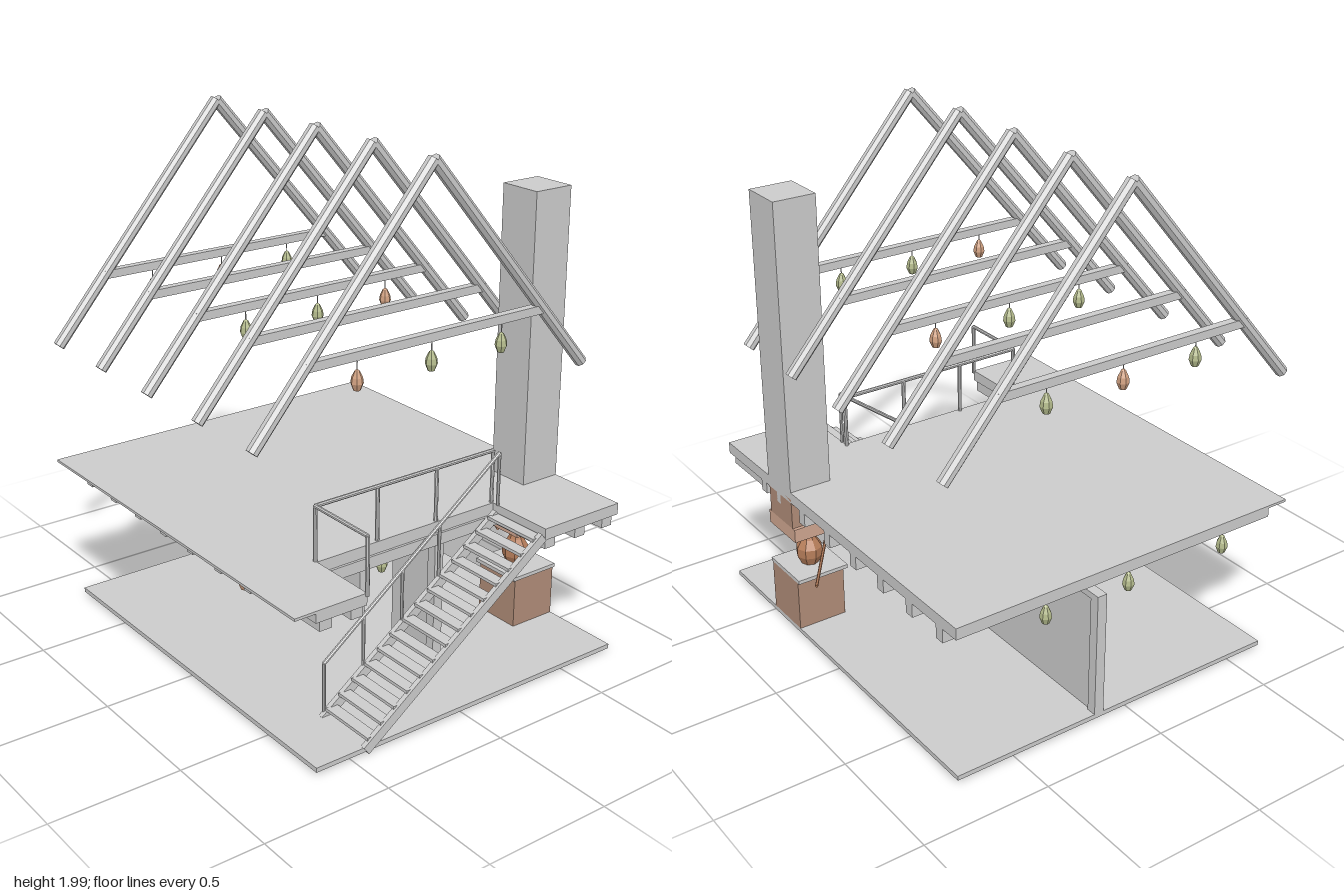
import * as THREE from 'three';

const mat = (color) => new THREE.MeshStandardMaterial({ color, flatShading: true });
const GREY = mat(0xcccccc);
const BRICK = mat(0xb08c78), PALE = mat(0xcfa690), CLAY = mat(0xb67d5a);
const GREEN = mat(0xb4bb8c), ORANGE = mat(0xd0a080);

function add(parent, name, geometry, material = GREY) {
  const mesh = new THREE.Mesh(geometry, material);
  mesh.name = name;
  parent.add(mesh);
  return mesh;
}

// Box given by its extents on each axis
function box(parent, name, [x0, x1], [y0, y1], [z0, z1], material) {
  const mesh = add(parent, name, new THREE.BoxGeometry(x1 - x0, y1 - y0, z1 - z0), material);
  mesh.position.set((x0 + x1) / 2, (y0 + y1) / 2, (z0 + z1) / 2);
  return mesh;
}

// Straight rod between two points
function rod(parent, name, a, b, radius, sides = 8, material = GREY) {
  const from = new THREE.Vector3(...a), to = new THREE.Vector3(...b);
  const dir = to.clone().sub(from);
  const geometry = new THREE.CylinderGeometry(radius, radius, dir.length(), sides);
  geometry.rotateY(Math.PI / sides);
  const mesh = add(parent, name, geometry, material);
  mesh.position.copy(from).add(to).multiplyScalar(0.5);
  mesh.quaternion.setFromUnitVectors(new THREE.Vector3(0, 1, 0), dir.normalize());
  return mesh;
}

function lathe(points, sides) {
  return new THREE.LatheGeometry(points.map(([r, y]) => new THREE.Vector2(r, y)), sides);
}

// Teardrop lantern on a short cord, hung from the given point
const lanternShape = lathe([[0, -0.115], [0.013, -0.11], [0.023, -0.085], [0.02, -0.065], [0.009, -0.042], [0, -0.035]], 7);
function lantern(parent, x, y, z, material) {
  const group = new THREE.Group();
  group.name = 'lantern';
  group.position.set(x, y, z);
  add(group, 'lanternBody', lanternShape, material);
  rod(group, 'lanternCord', [0, -0.04, 0], [0, 0, 0], 0.002, 4);
  parent.add(group);
}

function buildFloors(model) {
  box(model, 'groundSlab', [-0.81, 0.8], [0.018, 0.036], [-0.74, 0.65]);

  // Upper floor with a stairwell at its side
  const y = [0.585, 0.63];
  box(model, 'upperFloor', [-0.81, 0.52], y, [-0.74, 0.65]);
  box(model, 'rearLanding', [0.52, 0.8], y, [-0.74, -0.37]);
  box(model, 'frontLanding', [0.52, 0.8], y, [0.44, 0.65]);
  box(model, 'frontLip', [-0.81, 0.8], [0.62, 0.63], [0.65, 0.735]);

  // Joists under the floor and the landings
  for (let i = 0; i < 7; i++) {
    const x = -0.71 + i * 0.185;
    box(model, 'joist', [x - 0.02, x + 0.02], [0.53, 0.585], [-0.74, 0.65]);
  }
  for (const z of [0.6, 0.47, -0.41, -0.56, -0.7]) {
    box(model, 'landingJoist', [0.53, 0.785], [0.54, 0.585], [z - 0.025, z + 0.025]);
  }
  box(model, 'stairwellTrimmer', [0.49, 0.53], [0.54, 0.585], [-0.74, 0.65]);
}

function buildWall(model) {
  // Partition wall with a doorway, framed by posts and a beam
  const shape = new THREE.Shape();
  [[-0.79, 0.036], [0.045, 0.036], [0.045, 0.49], [0.245, 0.49], [0.245, 0.036], [0.48, 0.036], [0.48, 0.52], [-0.79, 0.52]]
    .forEach(([x, y], i) => (i ? shape.lineTo(x, y) : shape.moveTo(x, y)));
  const panel = new THREE.ExtrudeGeometry(shape, { depth: 0.024, bevelEnabled: false });
  add(model, 'partitionWall', panel).position.z = -0.142;
  const z = [-0.15, -0.11];
  box(model, 'wallPost', [-0.81, -0.77], [0.036, 0.53], z);
  box(model, 'wallPost', [0.46, 0.5], [0.036, 0.53], z);
  box(model, 'wallBeam', [-0.81, 0.5], [0.505, 0.53], z);
}

function buildStove(model) {
  const stove = new THREE.Group();
  stove.name = 'stove';
  model.add(stove);
  box(stove, 'stoveBase', [0.28, 0.48], [0.036, 0.24], [-0.74, -0.54], BRICK);
  box(stove, 'stoveTop', [0.27, 0.49], [0.24, 0.255], [-0.74, -0.525]);
  const urn = lathe([[0, 0], [0.035, 0], [0.052, 0.035], [0.052, 0.07], [0.03, 0.105], [0.022, 0.125], [0.04, 0.165], [0, 0.165]], 8);
  add(stove, 'urn', urn, CLAY).position.set(0.38, 0.255, -0.63);
  rod(stove, 'poker', [0.13, 0.305, -0.74], [0.36, 0.41, -0.55], 0.006, 6, CLAY);
  box(stove, 'hood', [0.28, 0.48], [0.42, 0.475], [-0.74, -0.54], PALE);
  box(stove, 'flue', [0.295, 0.465], [0.475, 0.6], [-0.74, -0.575], BRICK);
  box(model, 'chimney', [0.295, 0.47], [0.625, 1.77], [-0.74, -0.57]);
}

function buildStairs(model) {
  const stairs = new THREE.Group();
  stairs.name = 'stairs';
  model.add(stairs);
  const low = { z: 0.44, y: 0.022 }, high = { z: -0.36, y: 0.602 };
  const run = high.z - low.z, rise = high.y - low.y;

  // Sloping side stringers
  for (const x of [0.552, 0.795]) {
    const stringer = add(stairs, 'stringer', new THREE.BoxGeometry(0.02, 0.038, Math.hypot(run, rise)));
    stringer.position.set(x, (low.y + high.y) / 2, (low.z + high.z) / 2);
    stringer.rotation.x = Math.atan2(rise, -run);
  }

  // Treads
  const count = 14;
  for (let i = 0; i < count; i++) {
    const t = (i + 0.6) / count;
    const y = low.y + rise * t + 0.012, z = low.z + run * t;
    box(stairs, 'tread', [0.555, 0.795], [y - 0.006, y + 0.006], [z - 0.024, z + 0.024]);
  }

  // Sloping handrail
  const railX = 0.545;
  const railY = (z) => 0.24 + (0.43 - z) * 0.75;
  rod(stairs, 'stairHandrail', [railX, 0.24, 0.43], [railX, 0.84, -0.37], 0.008);
  for (const z of [0.43, 0.255, 0.08, -0.09, -0.37]) {
    rod(stairs, 'stairRailPost', [railX, railY(z) - 0.21, z], [railX, railY(z), z], 0.007);
  }

  // Guard rail around the stairwell
  rod(stairs, 'guardRail', [0.51, 0.838, 0.44], [0.51, 0.838, -0.37], 0.008);
  rod(stairs, 'guardRail', [0.51, 0.838, 0.44], [0.8, 0.838, 0.44], 0.008);
  for (const [x, z] of [[0.51, 0.44], [0.51, 0.17], [0.51, -0.1], [0.51, -0.37], [0.8, 0.44]]) {
    rod(stairs, 'guardPost', [x, 0.62, z], [x, 0.838, z], 0.008);
  }
}

function buildRoof(model) {
  // Row of A-shaped trusses
  [-0.735, -0.41, -0.085, 0.245, 0.57].forEach((x, i) => {
    const truss = new THREE.Group();
    truss.name = 'roofTruss';
    truss.position.x = x;
    model.add(truss);
    for (const side of [-1, 1]) {
      rod(truss, 'rafter', [0, 1.982, 0], [0, 1.125, side * 0.735], 0.023);
    }
    box(truss, 'tieBeam', [-0.016, 0.016], [1.356, 1.388], [-0.53, 0.53]);
    if (i % 2 === 0) {
      [0.32, 0, -0.32].forEach((z, k) => lantern(truss, 0.012, 1.362, z, (i + k) % 3 === 1 ? ORANGE : GREEN));
    }
  });
}

export function createModel() {
  const model = new THREE.Group();
  model.name = 'stiltHouse';
  buildFloors(model);
  buildWall(model);
  buildStove(model);
  buildStairs(model);
  buildRoof(model);

  // Lanterns hung below the joists
  const spots = [
    [-0.71, 0.52, 0], [-0.71, 0.07, 0], [-0.71, -0.3, 0], [-0.34, 0.38, 1], [-0.34, -0.24, 0],
    [-0.155, 0.21, 0], [-0.155, -0.45, 0], [0.115, -0.26, 0], [0.215, 0.54, 1], [0.4, 0.06, 0],
  ];
  for (const [x, z, warm] of spots) lantern(model, x, 0.54, z, warm ? ORANGE : GREEN);
  return model;
}
